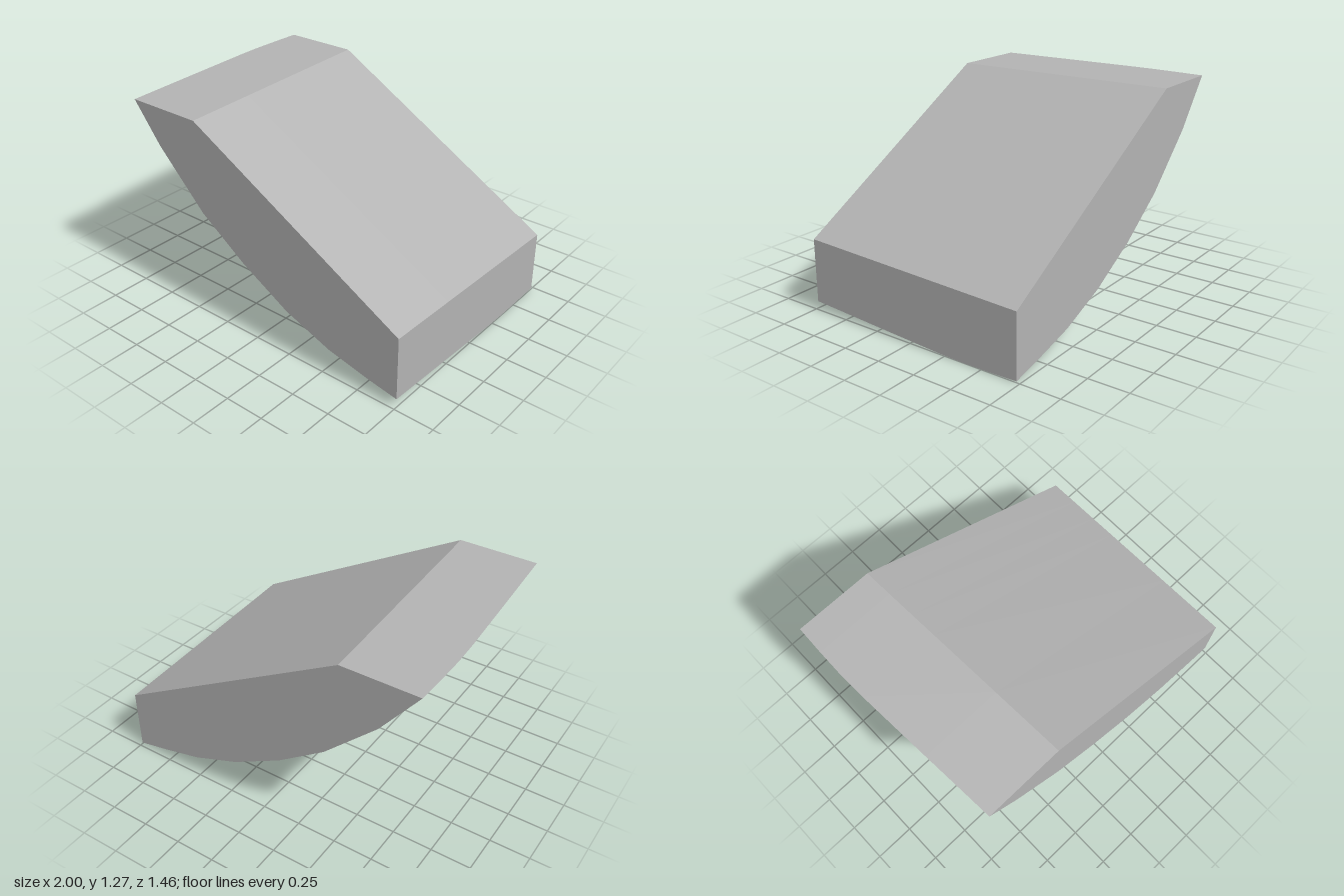
import * as THREE from 'three';

// Underside curve, left to right: x and y at the front, then x and y at the fullest section
const KEEL = [
  [-0.94, 1.27, -1, 1.27], [-0.75, 1.026, -0.755, 0.955], [-0.42, 0.69, -0.42, 0.633],
  [-0.11, 0.47, -0.11, 0.412], [0.22, 0.28, 0.22, 0.232], [0.53, 0.16, 0.53, 0.113],
  [0.8, 0.097, 0.8, 0.047], [1, 0.06, 1, 0.004],
];

// Sections front to back: z and fullness
const SECTIONS = [[0.73, 0], [0.27, 0.46], [-0.2, 0.91], [-0.37, 1], [-0.55, 0.96], [-0.73, 0.86]];

function sectionPoints([z, full]) {
  const k = (0.73 - z) / 1.46;
  const ring = KEEL.map(([x0, y0, x1, y1]) => [x0 + (x1 - x0) * full, y0 + (y1 - y0) * full, z]);
  ring.push([1, 0.455 - 0.05 * k, z]); // top of the end wall
  ring.push([-0.445 - 0.065 * k, 1.27, z]); // ridge between flat top and slope
  return ring;
}

function loftGeometry() {
  const rings = SECTIONS.map(sectionPoints);
  const n = rings[0].length;
  const last = rings.length - 1;
  const index = [];
  // skin between sections
  for (let i = 0; i < last; i++) {
    for (let j = 0; j < n; j++) {
      const a = i * n + j, b = i * n + (j + 1) % n;
      index.push(a, a + n, b + n, a, b + n, b);
    }
  }
  // front and back faces
  for (let j = 1; j < n - 1; j++) {
    index.push(0, j, j + 1);
    index.push(last * n, last * n + j + 1, last * n + j);
  }
  const geometry = new THREE.BufferGeometry();
  geometry.setAttribute('position', new THREE.Float32BufferAttribute(rings.flat(2), 3));
  geometry.setIndex(index);
  const flat = geometry.toNonIndexed();
  flat.computeVertexNormals();
  return flat;
}

export function createModel() {
  const group = new THREE.Group();
  group.name = 'curvedWedge';
  const grey = new THREE.MeshStandardMaterial({ color: 0xb2b2b2 });
  grey.name = 'grey';
  grey.flatShading = true;
  const body = new THREE.Mesh(loftGeometry(), grey);
  body.name = 'wedgeBody';
  group.add(body);
  return group;
}
